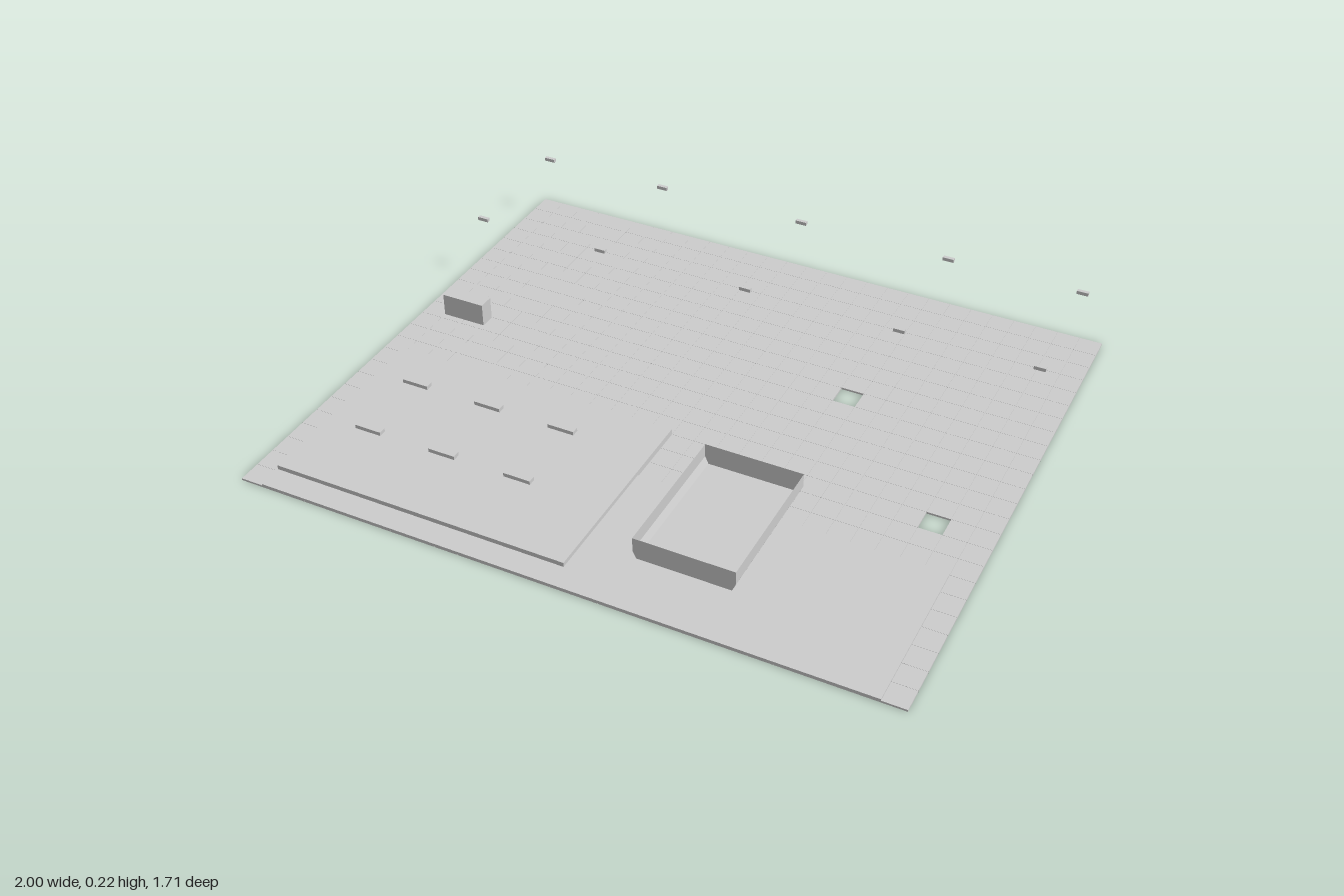
import * as THREE from 'three';
import { mergeGeometries } from 'three/addons/utils/BufferGeometryUtils.js';

const grey = new THREE.MeshStandardMaterial({ color: 0xcccccc, side: THREE.DoubleSide });
grey.name = 'plain grey';

// Box given by its limits on each axis
function block(name, [x0, x1], [y0, y1], [z0, z1]) {
  const mesh = new THREE.Mesh(new THREE.BoxGeometry(x1 - x0, y1 - y0, z1 - z0), grey);
  mesh.position.set((x0 + x1) / 2, (y0 + y1) / 2, (z0 + z1) / 2);
  mesh.name = name;
  return mesh;
}

// Square floor tiles with hairline joints and two missing tiles
function floorTiles() {
  const cell = 2 / 28, tiles = [];
  const missing = ['19,8', '25,14'];
  for (let i = 0; i < 28; i++) {
    for (let j = 0; j < 24; j++) {
      if (missing.includes(`${i},${j}`)) continue;
      const tile = new THREE.BoxGeometry(cell - 0.0006, 0.006, cell - 0.0006);
      tile.translate((i + 0.5 - 14) * cell, 0.003, (j + 0.5 - 12) * cell);
      tiles.push(tile);
    }
  }
  const mesh = new THREE.Mesh(mergeGeometries(tiles), grey);
  mesh.name = 'floorTiles';
  return mesh;
}

// Open-topped thin tray whose long sides taper in at the bottom
function tray() {
  const group = new THREE.Group();
  group.name = 'raisedTray';
  const section = [[-0.146, 0.197], [-0.146, 0.155], [-0.136, 0.132],
    [0.136, 0.132], [0.146, 0.155], [0.146, 0.197]];
  const z0 = 0.358, z1 = 0.786;
  for (let i = 0; i < section.length - 1; i++) {
    const [ax, ay] = section[i], [bx, by] = section[i + 1];
    const panel = new THREE.Mesh(new THREE.PlaneGeometry(Math.hypot(bx - ax, by - ay), z1 - z0), grey);
    panel.rotation.set(Math.PI / 2, 0, 0);
    const holder = new THREE.Group();
    holder.add(panel);
    holder.rotation.z = Math.atan2(by - ay, bx - ax);
    holder.position.set((ax + bx) / 2, (ay + by) / 2, (z0 + z1) / 2);
    holder.name = 'trayPanel';
    group.add(holder);
  }
  const endShape = new THREE.Shape(section.map(([x, y]) => new THREE.Vector2(x, y)));
  for (const z of [z0, z1]) {
    const end = new THREE.Mesh(new THREE.ShapeGeometry(endShape), grey);
    end.position.z = z;
    if (z === z0) end.rotation.y = Math.PI;
    end.name = 'trayEnd';
    group.add(end);
  }
  group.position.x = 0.357;
  return group;
}

export function createModel() {
  const model = new THREE.Group();
  model.name = 'floorPlan';
  model.add(floorTiles());

  // Low slab, raised platform and standing box
  model.add(block('frontSlab', [-0.929, 0.929], [0.004, 0.011], [0.357, 0.857]));
  model.add(block('platform', [-0.929, 0], [0.004, 0.025], [0.143, 0.783]));
  model.add(block('standingBox', [-0.929, -0.786], [0.004, 0.08], [-0.143, -0.093]));

  // Six small blocks on the platform
  for (const x of [-0.786, -0.535, -0.286]) {
    for (const z of [0.283, 0.531]) {
      model.add(block('platformBlock', [x - 0.043, x + 0.043], [0.02, 0.037], [z - 0.012, z + 0.012]));
    }
  }

  // Two rows of small floating blocks
  for (const x of [-0.93, -0.502, 0, 0.5, 0.93]) {
    for (const z of [-0.358, -0.79]) {
      model.add(block('floatingBlock', [x - 0.018, x + 0.018], [0.21, 0.221], [z - 0.006, z + 0.006]));
    }
  }

  model.add(tray());
  return model;
}
